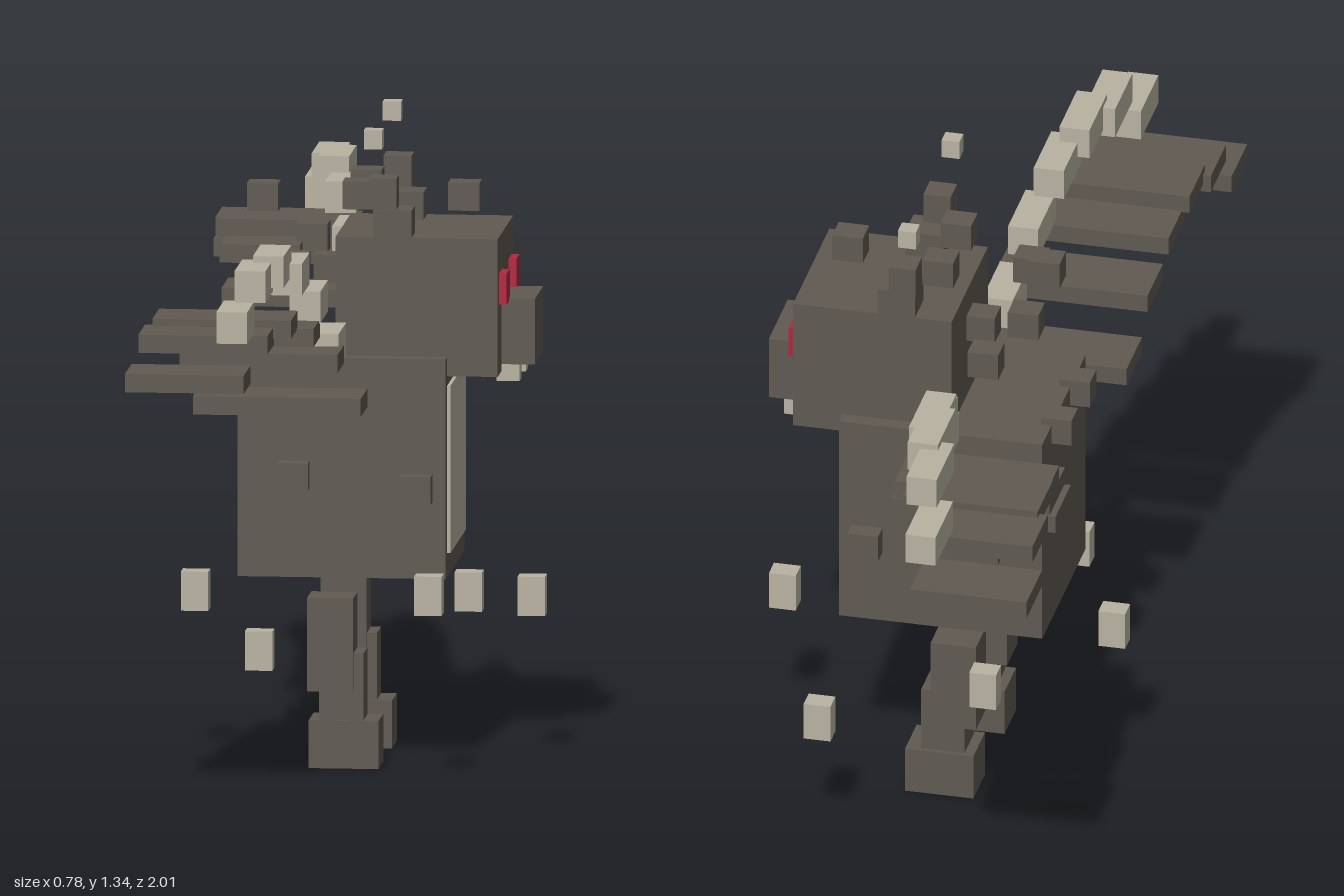
import * as THREE from 'three';

const mat = (name, color) => {
  const m = new THREE.MeshStandardMaterial({ color });
  m.name = name;
  return m;
};

export function createModel() {
  const model = new THREE.Group();
  const stone = mat('dark stone', 0x605a52);
  const bone = mat('pale bone', 0xb9b3a1);
  const red = mat('eye red', 0xb4263f);

  // Box given by its extents on each axis
  const box = (name, m, [x0, x1], [y0, y1], [z0, z1], parent = model) => {
    const mesh = new THREE.Mesh(new THREE.BoxGeometry(x1 - x0, y1 - y0, z1 - z0), m);
    mesh.position.set((x0 + x1) / 2, (y0 + y1) / 2, (z0 + z1) / 2);
    mesh.name = name;
    parent.add(mesh);
  };
  // The same box on both sides of the body (the creature looks along +x)
  const pair = (name, m, x, y, [z0, z1], parent) => {
    box(name, m, x, y, [z0, z1], parent);
    box(name, m, x, y, [-z1, -z0], parent);
  };
  const around = (c, size) => [c - size / 2, c + size / 2];

  // Body, belly and head
  box('body', stone, [-0.235, 0.197], [0.4, 0.86], [-0.195, 0.195]);
  box('bellyPlate', bone, [0.197, 0.204], [0.45, 0.8], [-0.165, 0.165]);
  box('head', stone, [-0.035, 0.302], [0.82, 1.108], [-0.163, 0.163]);
  box('snout', stone, [0.302, 0.372], [0.835, 0.973], [-0.085, 0.085]);
  pair('eye', red, [0.302, 0.318], [0.967, 1.032], [0.068, 0.135]);
  pair('tooth', bone, [0.292, 0.34], [0.8, 0.835], [0.045, 0.085]);

  // Horns with floating tips
  pair('hornBase', stone, [0.043, 0.123], [1.108, 1.165], [0.085, 0.163]);
  pair('hornMiddle', stone, [0.036, 0.094], [1.17, 1.235], [0.128, 0.187]);
  pair('hornTip', bone, [0.029, 0.067], [1.3, 1.34], [0.178, 0.214]);

  // Legs
  pair('foot', stone, [-0.088, 0.057], [0, 0.1], [0.088, 0.192]);
  pair('lowerLeg', stone, [-0.067, 0.025], [0.1, 0.24], [0.098, 0.183]);
  pair('upperLeg', stone, [-0.092, 0.004], [0.16, 0.355], [0.093, 0.187]);

  // Stone lumps on the flanks, back and neck, and around the crown
  const lumps = [
    ['flankLump', -0.118, 0.615, 0.205], ['flankLump', 0.137, 0.59, 0.205],
    ['backLump', -0.245, 0.847, 0.083], ['neckLump', -0.118, 1.053, 0.205],
    ['neckLump', -0.155, 1.04, 0], ['neckLump', -0.062, 1.02, 0],
    ['crownLump', -0.2, 1.168, 0], ['crownLump', 0.218, 1.175, 0],
    ['crownLump', 0.007, 1.187, 0.081],
  ];
  for (const [name, x, y, z] of lumps) {
    const put = z ? pair : box;
    put(name, stone, around(x, 0.065), around(y, 0.058), around(z, 0.058));
  }

  // Wings: pale arm bones arching over dark feather plates, root to tip
  // [feather x0, x1, y, arm y]
  const wing = new THREE.Group();
  wing.name = 'wings';
  model.add(wing);
  const segments = [
    [-0.309, 0.04, 0.786, 0.908], [-0.325, 0.004, 0.896, 1.015],
    [-0.341, -0.034, 0.968, 1.091], [-0.357, -0.069, 1.003, 1.125],
    [-0.374, -0.106, 0.988, 1.112], [-0.39, -0.143, 0.924, 1.044],
  ];
  segments.forEach(([x0, x1, featherY, armY], i) => {
    const z = 0.32 + i * 0.1207;
    pair('wingFeather', stone, [x0, x1], around(featherY, 0.038), around(z, 0.139), wing);
    pair('wingArm', bone, around(-0.037 - i * 0.026, 0.064), around(armY, 0.066), around(z, 0.158), wing);
  });

  // Ring of floating shards
  const shards = [
    [0.358, 0.34, 0], [0.185, 0.402, 0.42], [-0.167, 0.282, 0.42],
    [-0.342, 0.34, 0], [-0.167, 0.402, -0.42], [0.185, 0.282, -0.42],
  ];
  for (const [x, y, z] of shards) {
    box('floatingShard', bone, around(x, 0.057), around(y, 0.082), around(z, 0.045));
  }
  return model;
}
